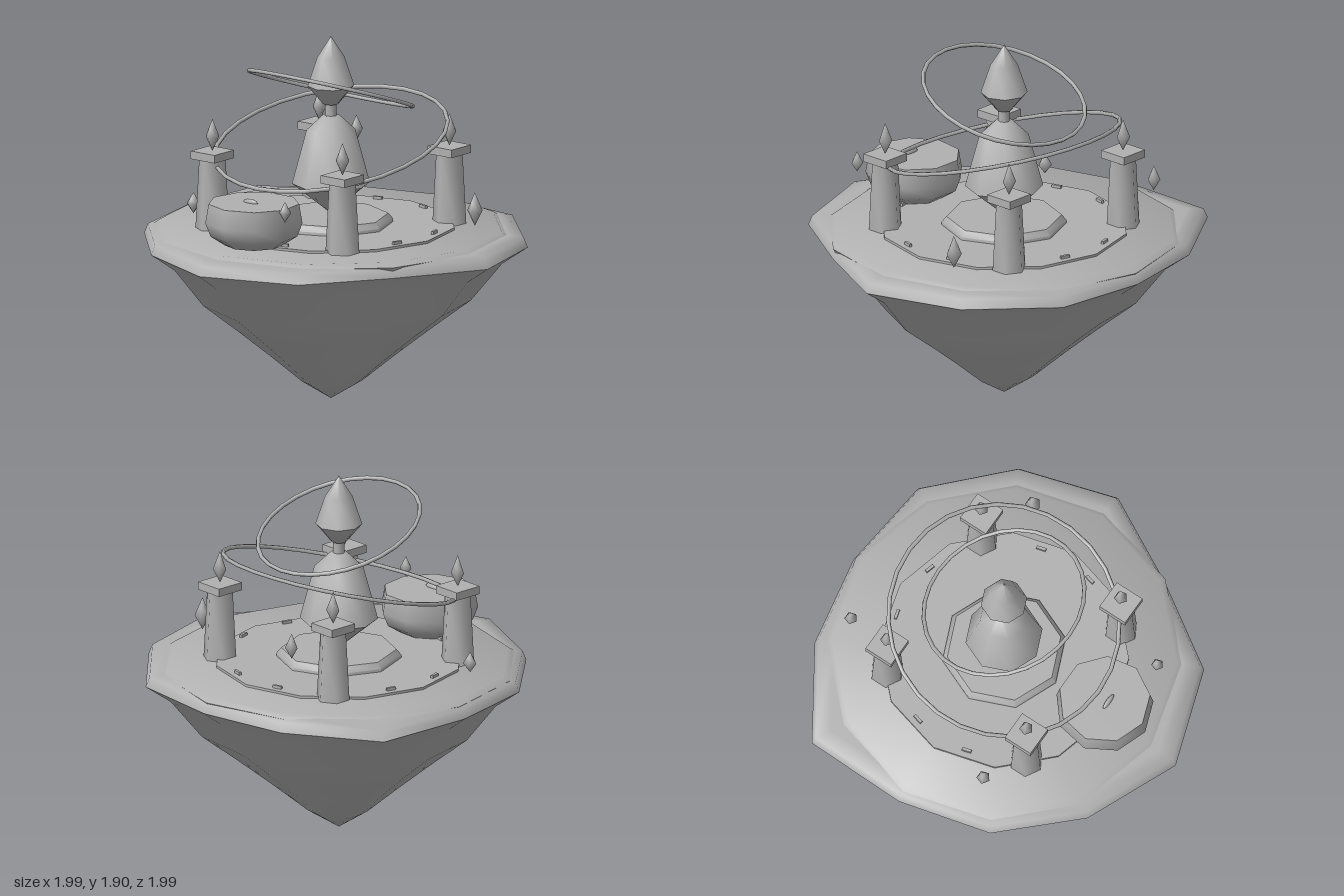
import * as THREE from 'three';
import { mergeVertices, toCreasedNormals } from 'three/addons/utils/BufferGeometryUtils.js';

const stone = new THREE.MeshStandardMaterial({ color: 0xb0b0b0 });
stone.name = 'grey stone';

// Turned solid from [radius, height] pairs, with an optional radius factor per side
function turned(profile, sides, crease = 0.9, factors = null) {
  const points = profile.map(([r, y]) => new THREE.Vector2(r, y));
  let geo = new THREE.LatheGeometry(points, sides);
  const pos = geo.attributes.position;
  if (factors) {
    for (let i = 0; i < pos.count; i++) {
      const f = factors[Math.floor(i / points.length) % sides];
      pos.setX(i, pos.getX(i) * f);
      pos.setZ(i, pos.getZ(i) * f);
    }
  }
  geo.deleteAttribute('normal');
  geo.deleteAttribute('uv');
  geo = mergeVertices(geo, 1e-4);
  geo.computeVertexNormals();
  return crease ? toCreasedNormals(geo, crease) : geo;
}

function add(parent, name, geo, x = 0, y = 0, z = 0) {
  const mesh = new THREE.Mesh(geo, stone);
  mesh.name = name;
  mesh.position.set(x, y, z);
  parent.add(mesh);
  return mesh;
}

// Five-sided shard standing on its lower point
function shard(height, radius) {
  return turned([[0, 0], [radius, height * 0.45], [radius * 0.55, height * 0.7], [0, height]], 5, 0);
}

export function createModel() {
  const model = new THREE.Group();
  model.name = 'floatingIsland';
  const island = new THREE.Group();
  island.name = 'island';
  island.position.set(-0.04, 0, -0.06);
  model.add(island);

  // Uneven rock underside, tapering to a point
  const rim = [1.06, 1.025, 0.915, 1.037, 1.02, 1.01, 0.93, 0.97, 1.09, 0.957, 0.967, 0.98];
  add(island, 'rock', turned([[0, 0], [0.16, 0.1], [0.34, 0.25], [0.515, 0.39], [0.71, 0.54],
    [0.87, 0.74], [1, 0.83], [0.98, 0.88], [0.9, 0.89], [0, 0.89]], 12, 1.2, rim));

  // Stacked ground plates
  add(island, 'groundPlate', turned([[0.9, 0.86], [0.915, 0.885], [0.885, 0.907], [0, 0.907]], 12));
  add(island, 'courtyard', turned([[0.64, 0.89], [0.64, 0.92], [0, 0.92]], 12));
  add(island, 'pedestal', turned([[0.32, 0.91], [0.32, 0.935], [0.295, 0.965], [0, 0.965]], 8));

  // Small marker stones around the courtyard
  for (let i = 0; i < 12; i++) {
    const a = ((i + 0.5) / 12) * Math.PI * 2;
    const marker = add(island, 'markerStone', new THREE.BoxGeometry(0.05, 0.02, 0.015),
      Math.sin(a) * 0.58, 0.925, Math.cos(a) * 0.58);
    marker.rotation.y = a;
  }

  // Central crystal with its neck and head
  add(island, 'crystalBody', turned([[0, 0.97], [0.2, 1.13], [0.125, 1.41], [0.045, 1.485], [0, 1.485]], 8));
  add(island, 'crystalNeck', turned([[0.03, 1.47], [0.03, 1.55]], 8));
  add(island, 'crystalHead', turned([[0, 1.54], [0.04, 1.545], [0.12, 1.64], [0.07, 1.79], [0, 1.9]], 8));

  // Tilted orbit rings
  [['lowerRing', 0.605, 1.36, 15], ['upperRing', 0.428, 1.625, -19.5]].forEach(([name, r, y, tilt]) => {
    const ring = add(island, name, new THREE.TorusGeometry(r, 0.011, 6, 28), 0, y, 0);
    ring.rotation.x = Math.PI / 2 + THREE.MathUtils.degToRad(tilt);
  });

  // Corner pillars, each with a cap and a shard
  for (const sx of [-1, 1]) {
    for (const sz of [-1, 1]) {
      const pillar = new THREE.Group();
      pillar.name = 'pillar';
      pillar.position.set(sx * 0.43, 0, sz * 0.43);
      add(pillar, 'shaft', turned([[0.088, 0.9], [0.068, 1.28]], 6, 1.2));
      add(pillar, 'cap', new THREE.BoxGeometry(0.158, 0.042, 0.158), 0, 1.292, 0);
      add(pillar, 'pillarShard', shard(0.17, 0.036), 0, 1.31, 0);
      island.add(pillar);
    }
  }

  // Rounded boulder with a small knob on top
  add(island, 'boulder', turned([[0, 0.92], [0.15, 0.92], [0.225, 0.97], [0.252, 1.04],
    [0.235, 1.14], [0, 1.142]], 9, 0.9), 0, 0, 0.62);
  add(island, 'knob', new THREE.SphereGeometry(1, 10, 6), 0, 1.145, 0.645).scale.set(0.048, 0.017, 0.013);

  // Loose floating shards: x, bottom, z, height, radius
  [[-0.43, 1.17, -0.74, 0.135, 0.034], [0.665, 0.955, -0.36, 0.175, 0.041],
    [-0.69, 0.93, 0.255, 0.11, 0.036], [0.265, 1.1, 0.68, 0.11, 0.032]]
    .forEach(([x, y, z, h, r]) => add(model, 'floatingShard', shard(h, r), x, y, z));

  return model;
}
